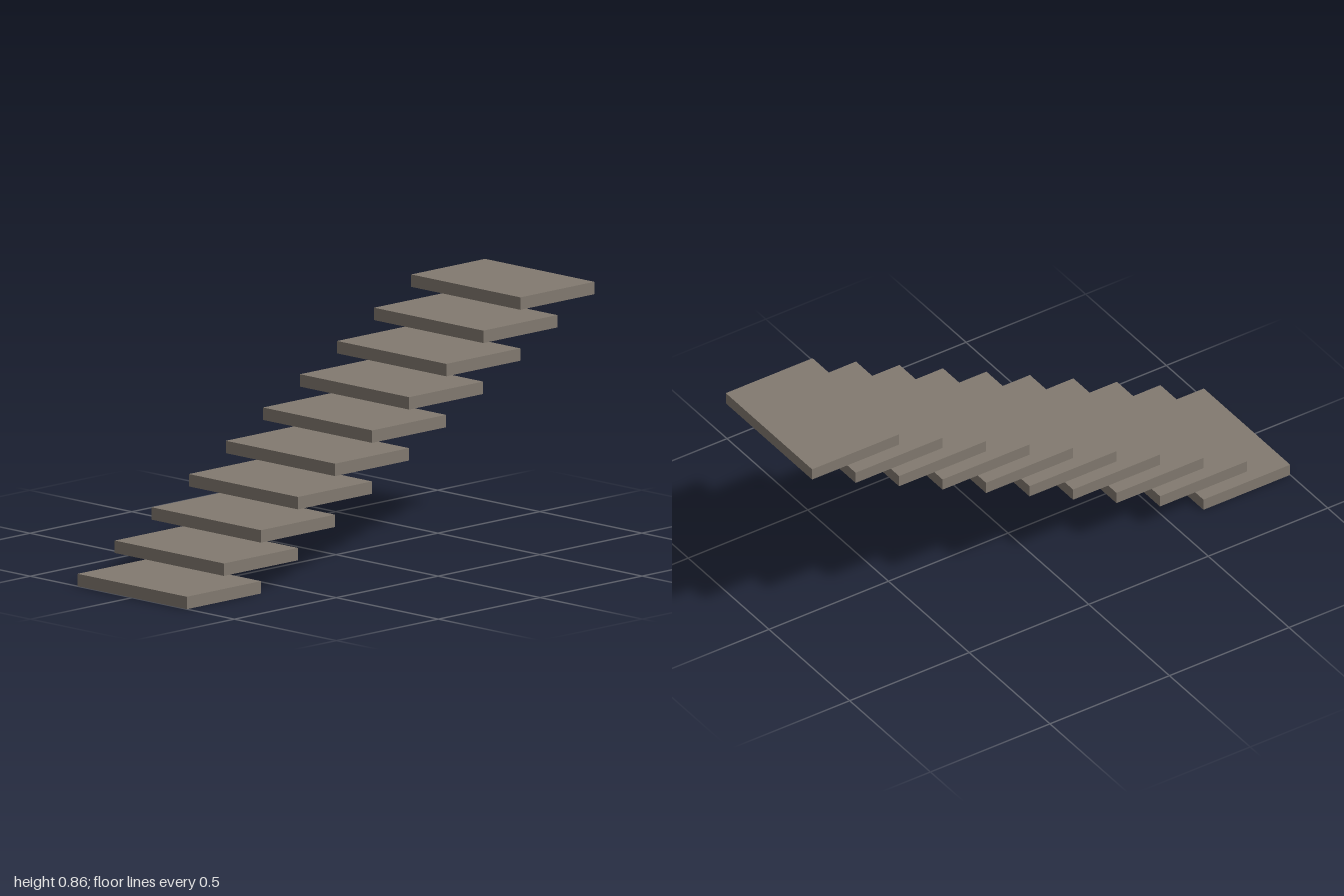
import * as THREE from 'three';

const COUNT = 10;
const WIDTH = 0.535, THICKNESS = 0.044, DEPTH = 0.363;
const RISE = 0.0902;
const RUN = (2 - DEPTH) / (COUNT - 1);

export function createModel() {
  const model = new THREE.Group();
  model.name = 'floatingStaircase';

  const stone = new THREE.MeshStandardMaterial({ color: 0x827a70 });
  stone.name = 'warm grey stone';

  // Identical overlapping slabs climbing from front to back
  const slab = new THREE.BoxGeometry(WIDTH, THICKNESS, DEPTH);
  for (let i = 0; i < COUNT; i++) {
    const step = new THREE.Mesh(slab, stone);
    step.name = `step${i + 1}`;
    step.position.set(0, THICKNESS / 2 + i * RISE, 1 - DEPTH / 2 - i * RUN);
    model.add(step);
  }
  return model;
}
